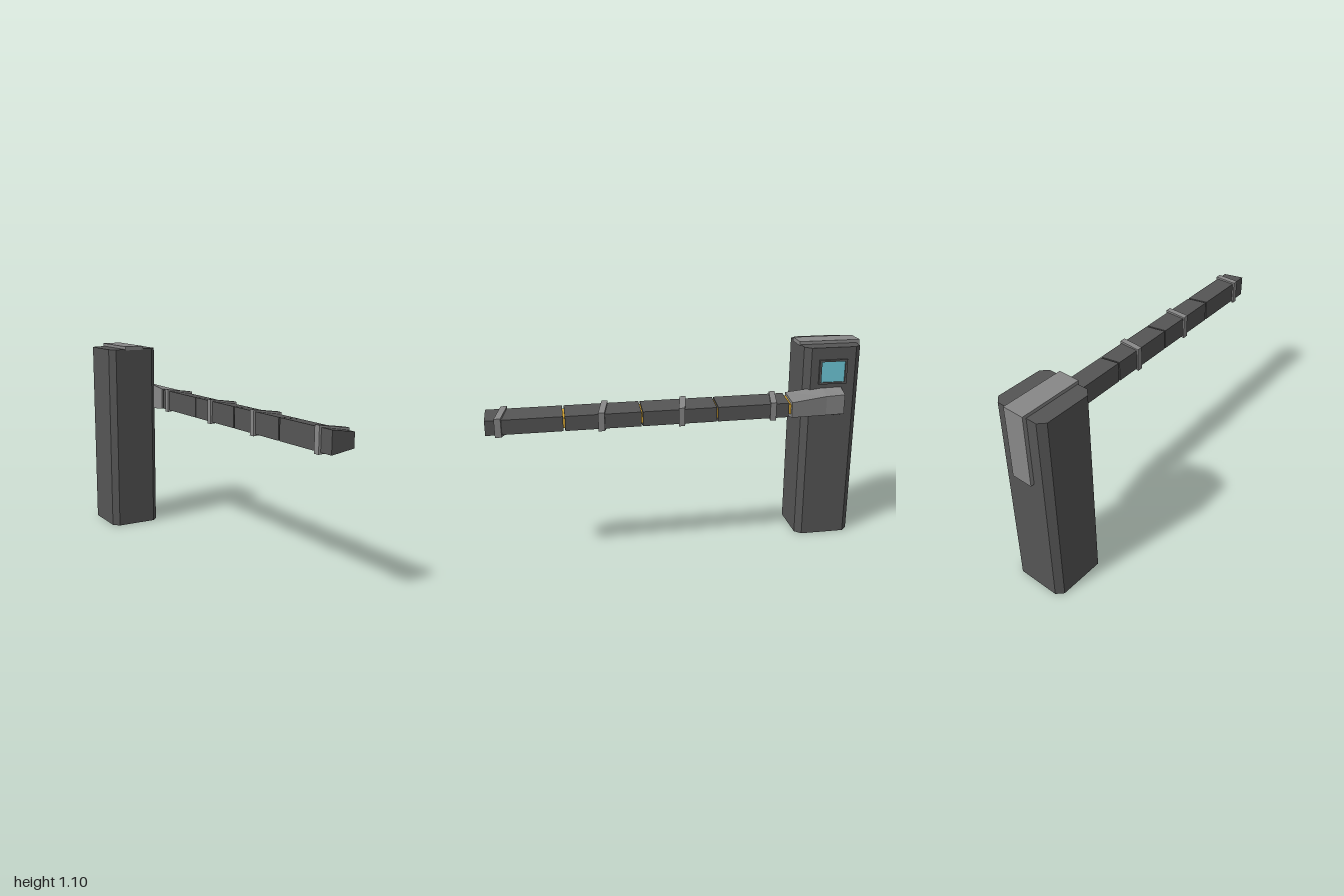
import * as THREE from 'three';

const mat = (color) => new THREE.MeshStandardMaterial({ color, flatShading: true });
const dark = mat(0x555555);
const grey = mat(0x888888);
const yellow = mat(0xd0a030);
const blue = mat(0x70ccdc);
const armY = 0.788;

function add(parent, name, geometry, material) {
  const mesh = new THREE.Mesh(geometry, material);
  mesh.name = name;
  parent.add(mesh);
  return mesh;
}

function box(parent, name, material, x0, x1, y0, y1, z0, z1) {
  const mesh = add(parent, name, new THREE.BoxGeometry(x1 - x0, y1 - y0, z1 - z0), material);
  mesh.position.set((x0 + x1) / 2, (y0 + y1) / 2, (z0 + z1) / 2);
  return mesh;
}

// Solid lofted along +z through trapezoid sections; skew shifts the outer edge in z
function loft(sections) {
  const pos = [];
  const index = [];
  for (const { z, xi, xo, hi, ho, skew = 0 } of sections) {
    pos.push(xi, armY - hi, z, xo, armY - ho, z + skew, xo, armY + ho, z + skew, xi, armY + hi, z);
  }
  const last = (sections.length - 1) * 4;
  for (let a = 0; a < last; a += 4) {
    for (let k = 0; k < 4; k++) {
      const n = (k + 1) % 4;
      index.push(a + k, a + n, a + 4 + n, a + k, a + 4 + n, a + 4 + k);
    }
  }
  index.push(0, 2, 1, 0, 3, 2, last, last + 1, last + 2, last, last + 2, last + 3);
  const g = new THREE.BufferGeometry();
  g.setAttribute('position', new THREE.Float32BufferAttribute(pos, 3));
  g.setIndex(index);
  const flat = g.toNonIndexed();
  flat.computeVertexNormals();
  return flat;
}

// Arm section at z: the boom swings slightly outward toward its tip
function armSection(z, grow = 0, skew = 0) {
  const shift = 0.06 + (z + 0.55) * 0.0185;
  return { z, xi: shift - grow, xo: shift + 0.127 + grow, hi: 0.057 + grow, ho: 0.038 + grow, skew };
}

export function createModel() {
  const model = new THREE.Group();
  model.name = 'barrierGate';

  // Cabinet with chamfered vertical corners
  const x0 = -0.226, x1 = 0.072, z0 = -0.98, z1 = -0.668, c = 0.033;
  const outline = new THREE.Shape([
    [x0 + c, -z1], [x1 - c, -z1], [x1, -z1 + c], [x1, -z0 - c],
    [x1 - c, -z0], [x0 + c, -z0], [x0, -z0 - c], [x0, -z1 + c],
  ].map(([x, y]) => new THREE.Vector2(x, y)));
  const post = new THREE.ExtrudeGeometry(outline, { depth: 1.085, bevelEnabled: false });
  post.rotateX(-Math.PI / 2);
  add(model, 'cabinet', post, dark);

  // Cover strip folded over the top and down the back
  const strip = new THREE.Shape([
    [0.662, 1.08], [0.97, 1.08], [0.97, 0.71], [1, 0.71], [1, 1.102], [0.662, 1.102],
  ].map(([x, y]) => new THREE.Vector2(x, y)));
  const stripGeo = new THREE.ExtrudeGeometry(strip, { depth: 0.115, bevelEnabled: false });
  stripGeo.rotateY(Math.PI / 2);
  add(model, 'coverStrip', stripGeo, grey).position.x = -0.135;

  // Display with raised frame on the side
  const display = new THREE.Group();
  display.name = 'display';
  model.add(display);
  for (const [a, b] of [[-0.9, -0.888], [-0.757, -0.745]]) {
    box(display, 'frameSide', dark, 0.06, 0.085, 0.888, 1.02, a, b);
  }
  for (const y of [0.888, 1.01]) {
    box(display, 'frameRail', dark, 0.06, 0.085, y, y + 0.01, -0.888, -0.757);
  }
  box(display, 'screen', blue, 0.06, 0.077, 0.898, 1.01, -0.888, -0.757);

  // Tapered arm mount
  add(model, 'armMount', loft([
    { z: -0.875, xi: 0.06, xo: 0.14, hi: 0.083, ho: 0.053 },
    { z: -0.77, xi: 0.06, xo: 0.15, hi: 0.081, ho: 0.052 },
    { z: -0.567, xi: 0.058, xo: 0.192, hi: 0.06, ho: 0.041 },
  ]), grey);

  // Boom: four segments on a thinner core, with slanted bands
  const boom = new THREE.Group();
  boom.name = 'boom';
  model.add(boom);
  for (const [a, b] of [[-0.551, -0.171], [-0.163, 0.22], [0.228, 0.611], [0.62, 1]]) {
    add(boom, 'segment', loft([armSection(a), armSection(b)]), dark);
  }
  add(boom, 'core', loft([armSection(-0.6, -0.012), armSection(0.9, -0.012)]), yellow);
  for (const z of [-0.48, 0.005, 0.415, 0.922]) {
    add(boom, 'band', loft([
      armSection(z - 0.03, 0.01, 0.03), armSection(z + 0.002, 0.01, 0.03),
    ]), grey);
  }
  return model;
}
